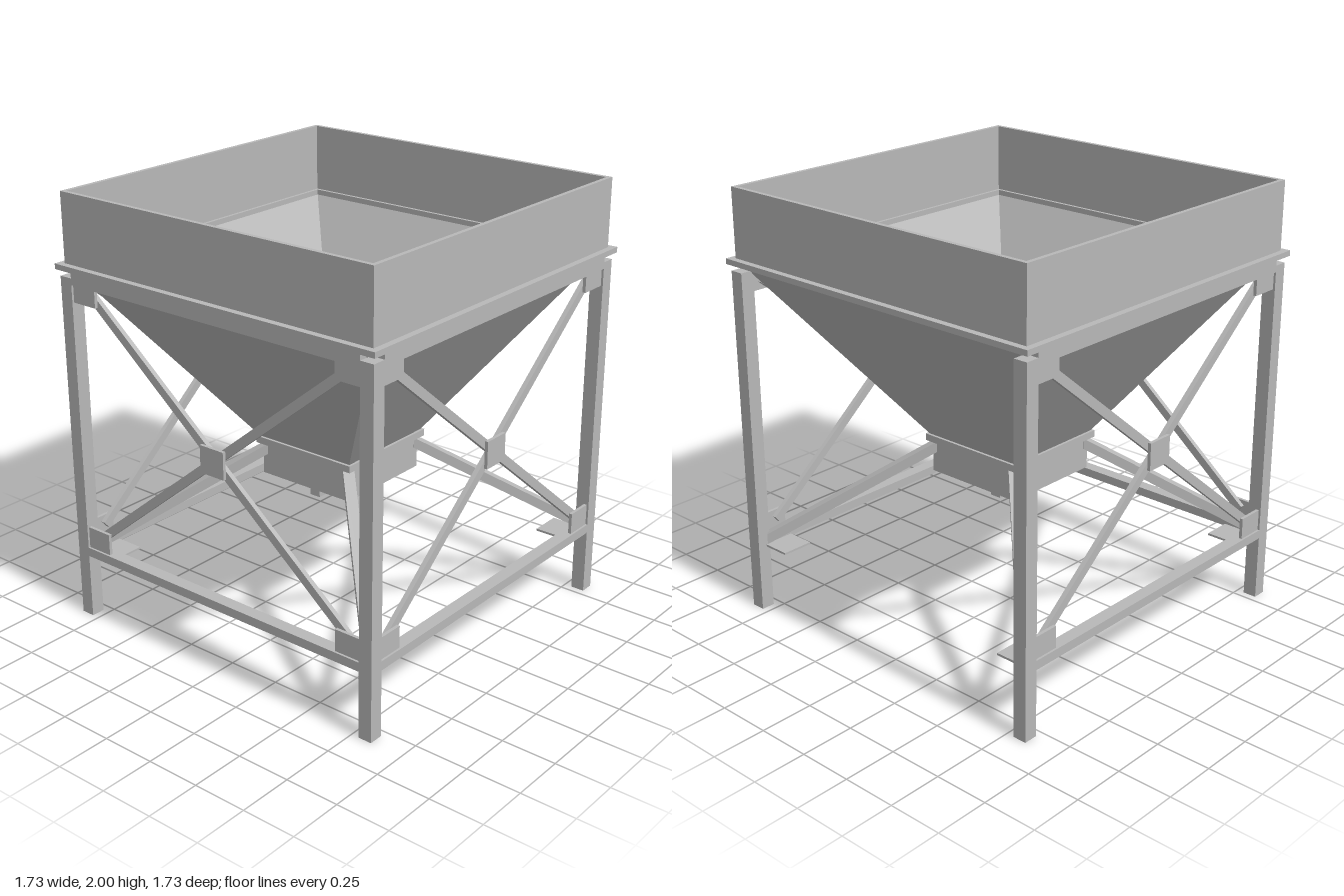
import * as THREE from 'three';

export function createModel() {
  const model = new THREE.Group();
  model.name = 'hopperOnStand';
  const steel = new THREE.MeshStandardMaterial({ color: 0xb8b8b8 });
  steel.name = 'grey steel';

  function add(name, geometry, parent = model, x = 0, y = 0, z = 0) {
    const mesh = new THREE.Mesh(geometry, steel);
    mesh.name = name;
    mesh.position.set(x, y, z);
    parent.add(mesh);
    return mesh;
  }

  // box given by its lower and upper limits
  function block(name, parent, [x0, x1], [y0, y1], [z0, z1]) {
    return add(name, new THREE.BoxGeometry(x1 - x0, y1 - y0, z1 - z0), parent,
      (x0 + x1) / 2, (y0 + y1) / 2, (z0 + z1) / 2);
  }

  // square hollow shell: outer and inner half widths at bottom and top
  function shell(name, y0, y1, out0, out1, in0, in1) {
    const profile = [[out0, y0], [out1, y1], [in1, y1], [in0, y0], [out0, y0]]
      .map(([r, y]) => new THREE.Vector2(r * Math.SQRT2, y));
    const geometry = new THREE.LatheGeometry(profile, 4, Math.PI / 4).toNonIndexed();
    geometry.computeVertexNormals();
    return add(name, geometry);
  }

  // bin, from the top down
  shell('upperBin', 1.68, 2, 0.835, 0.835, 0.815, 0.815);
  shell('binFlange', 1.66, 1.685, 0.865, 0.865, 0.8, 0.8);
  shell('hopperCone', 0.85, 1.66, 0.256, 0.82, 0.23, 0.8);
  shell('outletFlange', 0.82, 0.852, 0.27, 0.27, 0.23, 0.23);
  shell('outletSpout', 0.67, 0.82, 0.247, 0.247, 0.23, 0.23);

  // corner legs with flat corner plates and struts up to the outlet
  const inner = 0.235 * Math.SQRT2, outer = 0.79 * Math.SQRT2;
  const rise = 0.445, run = outer - inner;
  for (const sx of [-1, 1]) {
    for (const sz of [-1, 1]) {
      add('leg', new THREE.BoxGeometry(0.065, 1.63, 0.065), model, sx * 0.8175, 0.815, sz * 0.8175);
      add('cornerPlate', new THREE.BoxGeometry(0.15, 0.01, 0.15), model, sx * 0.73, 0.313, sz * 0.73);

      // sheared bar keeps its ends upright
      const bar = new THREE.BoxGeometry(run, 0.05, 0.05);
      const p = bar.attributes.position;
      for (let i = 0; i < p.count; i++) p.setY(i, p.getY(i) - p.getX(i) * rise / run);
      const geometry = bar.toNonIndexed();
      geometry.computeVertexNormals();
      const mid = (inner + outer) / 2 / Math.SQRT2;
      const strut = add('outletStrut', geometry, model, sx * mid, 0.5725, sz * mid);
      strut.rotation.y = Math.atan2(-sz, sx);
    }
  }

  // braced frame on the front, back and right; the left stays open
  const sides = [['frontFrame', 0], ['backFrame', Math.PI], ['rightFrame', -Math.PI / 2]];
  for (const [name, turn] of sides) {
    const frame = new THREE.Group();
    frame.name = name;
    frame.rotation.y = turn;
    model.add(frame);

    block('topBeam', frame, [-0.785, 0.785], [1.6, 1.66], [0.812, 0.85]);
    block('bottomRail', frame, [-0.785, 0.785], [0.308, 0.35], [0.79, 0.85]);
    block('centrePlate', frame, [-0.065, 0.065], [0.93, 1.055], [0.825, 0.84]);

    for (const s of [-1, 1]) {
      const xs = s > 0 ? [0.655, 0.785] : [-0.785, -0.655];
      block('upperGusset', frame, xs, [1.52, 1.6], [0.825, 0.84]);
      block('lowerGusset', frame, xs, [0.35, 0.45], [0.825, 0.84]);

      // crossing braces, set slightly apart in depth
      const brace = add('crossBrace', new THREE.BoxGeometry(1.85, 0.04, 0.022), frame,
        0, 0.992, 0.813 + s * 0.001);
      brace.rotation.z = s * Math.atan2(1.16, 1.43);
    }
  }
  return model;
}
